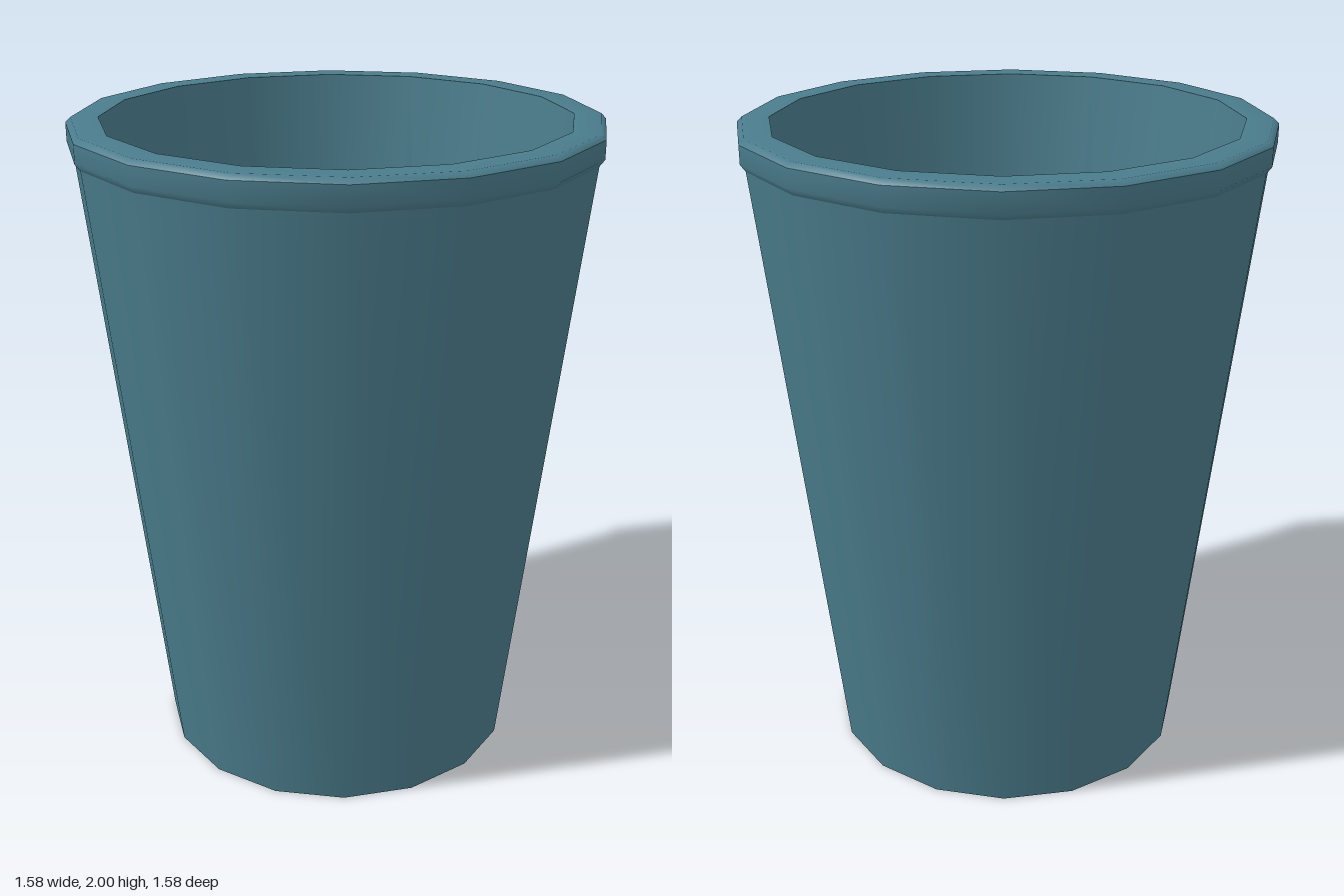
import * as THREE from 'three';

const SIDES = 16;

export function createModel() {
  const cup = new THREE.Group();
  cup.name = 'cup';
  const material = new THREE.MeshStandardMaterial({ color: 0x4a7c8c });

  // Each band is smooth in itself and meets its neighbours at a hard edge.
  const band = (name, profile) => {
    const points = profile.map(([r, y]) => new THREE.Vector2(r, y));
    const mesh = new THREE.Mesh(new THREE.LatheGeometry(points, SIDES), material);
    mesh.name = name;
    cup.add(mesh);
  };

  // Profile runs from the centre of the base, up the outside and down the inside.
  band('base', [[0, 0], [0.555, 0]]);
  band('outerWall', [[0.555, 0], [0.775, 1.91]]);
  band('lip', [[0.775, 1.91], [0.79, 1.93], [0.79, 1.985]]);
  band('rim', [[0.79, 1.985], [0.775, 2], [0.695, 2]]);
  band('innerWall', [[0.695, 2], [0.46, 0.08]]);
  band('floor', [[0.46, 0.08], [0, 0.08]]);

  return cup;
}
